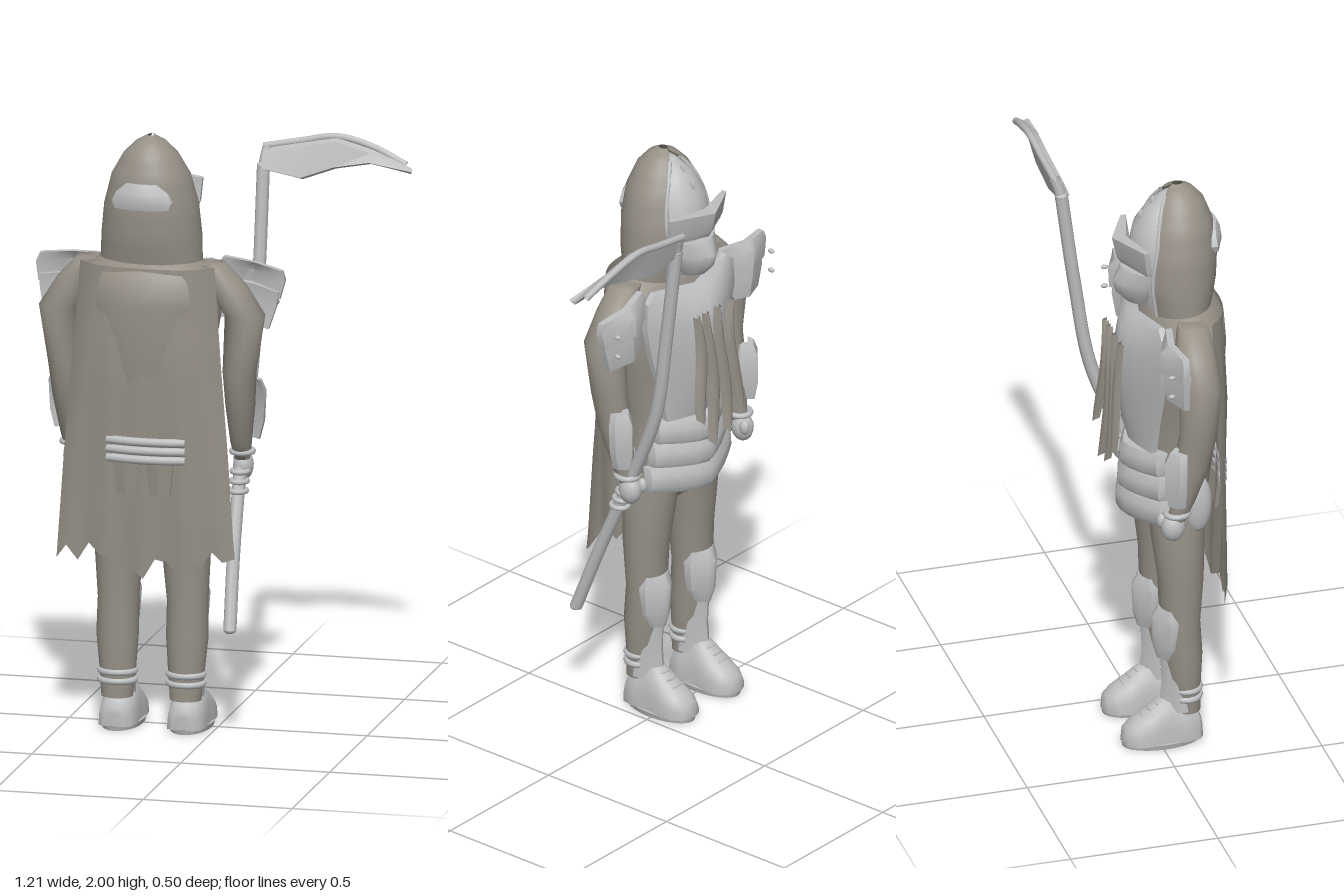
import * as THREE from 'three';
import { toCreasedNormals } from 'three/addons/utils/BufferGeometryUtils.js';

const CX = -0.2; // body centre line; the body faces -z
const cloth = new THREE.MeshStandardMaterial({ color: 0x969086 });
cloth.name = 'cloth';
cloth.side = THREE.DoubleSide;
const metal = new THREE.MeshStandardMaterial({ color: 0xbcbec0 });
metal.name = 'metal';
metal.side = THREE.DoubleSide;

// Closed skin over a list of equal-length rings, capped at both ends
function loft(rings, crease = 0.8) {
  const n = rings[0].length, pos = rings.flat(2), idx = [];
  rings.slice(1).forEach((_, r) => {
    for (let i = 0; i < n; i++) {
      const a = r * n + i, b = r * n + (i + 1) % n;
      idx.push(a, b, a + n, b, b + n, a + n);
    }
  });
  [0, rings.length - 1].forEach((r) => {
    const c = pos.length / 3;
    for (let k = 0; k < 3; k++) pos.push(rings[r].reduce((s, p) => s + p[k], 0) / n);
    for (let i = 0; i < n; i++) {
      const a = r * n + i, b = r * n + (i + 1) % n;
      if (r) idx.push(a, b, c); else idx.push(b, a, c);
    }
  });
  // Turn the skin outward if its signed volume is negative
  let vol = 0;
  const at = (i) => new THREE.Vector3().fromArray(pos, i * 3);
  for (let i = 0; i < idx.length; i += 3) vol += at(idx[i]).dot(at(idx[i + 1]).cross(at(idx[i + 2])));
  if (vol < 0) idx.reverse();
  return finish(pos, idx, crease);
}

function finish(pos, idx, crease) {
  const g = new THREE.BufferGeometry();
  g.setAttribute('position', new THREE.Float32BufferAttribute(pos, 3));
  g.setIndex(idx);
  return toCreasedNormals(g, crease);
}

// Open surface from fn(u, v) => [x, y, z]
function sheet(fn, nu, nv) {
  const pos = [], idx = [];
  for (let j = 0; j <= nv; j++) for (let i = 0; i <= nu; i++) {
    pos.push(...fn(i / nu, j / nv));
    const a = j * (nu + 1) + i;
    if (i < nu && j < nv) idx.push(a, a + 1, a + nu + 1, a + 1, a + nu + 2, a + nu + 1);
  }
  return finish(pos, idx, 1);
}

// Elliptical body: rows of [y, x, half width, front z, back z]
const body = (rows, n = 20) => loft(rows.map(([y, x, w, f, b]) => Array.from({ length: n }, (_, i) => {
  const a = i / n * Math.PI * 2;
  return [x + w * Math.cos(a), y, (f + b) / 2 + (b - f) / 2 * Math.sin(a)];
})), 1.2);

// Bowed armour plate: rows of [y, half width, middle z, side z, rise of the sides]
const plate = (x, rows, thick = 0.02, power = 1) => loft(rows.map(([y, w, zc, zs, rise = 0]) => {
  const side = (t) => Array.from({ length: 9 }, (_, i) => {
    const u = i / 4 - 1, k = Math.abs(u) ** power;
    return [x + u * w, y + rise * k, zc + (zs - zc) * k + t];
  });
  return [...side(0), ...side(thick).reverse()];
}), 0.75);

const lerpRow = (rows, t) => {
  const k = Math.min(Math.floor(t * (rows.length - 1)), rows.length - 2), f = t * (rows.length - 1) - k;
  return rows[k].map((v, i) => v + (rows[k + 1][i] - v) * f);
};

export function createModel() {
  const model = new THREE.Group();
  const add = (name, geo, mat) => {
    const m = new THREE.Mesh(geo, mat);
    m.name = name;
    model.add(m);
    return m;
  };
  const ball = (name, mat, x, y, z, sx, sy, sz) => {
    const m = add(name, new THREE.SphereGeometry(1, 14, 10), mat);
    m.position.set(x, y, z);
    m.scale.set(sx, sy, sz);
  };
  const tube = (name, pts, r, mat, seg = 20) => add(name, new THREE.TubeGeometry(
    new THREE.CatmullRomCurve3(pts.map((p) => new THREE.Vector3(...p))), seg, r, 8), mat);
  const ring = (name, x, y, z, rx, rz, r, mat) => {
    const m = add(name, new THREE.TorusGeometry(1, r / rx, 8, 28), mat);
    m.position.set(x, y, z);
    m.rotation.x = Math.PI / 2;
    m.scale.set(rx, rz, rx);
  };

  // Torso
  add('torso', body([[0.76, CX, 0.12, 0.0, 0.15], [0.84, CX, 0.18, -0.03, 0.18], [0.95, CX, 0.165, -0.05, 0.2],
    [1.08, CX, 0.165, -0.04, 0.22], [1.25, CX, 0.205, -0.05, 0.24], [1.45, CX, 0.24, -0.06, 0.248],
    [1.56, CX, 0.23, -0.02, 0.238], [1.6, CX, 0.14, 0.0, 0.19]], 28), cloth);

  // Cape with folds and a ragged hem
  const capeRows = [[1.58, 0.225, 0.225, 0.15], [1.25, 0.25, 0.235, 0.16], [0.95, 0.275, 0.22, 0.165], [0.58, 0.3, 0.2, 0.17]];
  const ragged = [0, 0.05, 0.0, 0.06, 0.03, 0.01, -0.01, -0.02, -0.045, 0.02, 0.01, -0.02, 0.03, 0.0, 0.05, 0.02, 0.03];
  add('cape', sheet((u, v) => {
    const [y, w, zc, zs] = lerpRow(capeRows, v), s = u * 2 - 1;
    return [CX + s * w, y + (v === 1 ? ragged[Math.round(u * 16)] : 0),
      zc + (zs - zc) * Math.abs(s) ** 3.5 + 0.01 * v * Math.sin(u * 28)];
  }, 16, 12), cloth);

  // Back belt and hanging cloth tabs
  [0.94, 0.97, 1.0].forEach((y) => tube('backBelt', [-0.13, -0.07, 0, 0.07, 0.13].map((x) => [-0.187 + x, y, 0.234 - x * x]), 0.0145, metal));
  [-1, 1].forEach((s) => add('beltTab', plate(-0.196 + s * 0.055, [[0.93, 0.045, 0.236, 0.226], [0.82, 0.035, 0.23, 0.218]], -0.02), cloth));

  // Hood, open toward the face with a pointed arch
  const hoodRows = [[1.57, 0.17, -0.02, 0.2, 0.6], [1.67, 0.166, -0.045, 0.22, 0.66], [1.77, 0.156, -0.045, 0.225, 0.78],
    [1.87, 0.13, -0.02, 0.212, 0.75], [1.94, 0.09, 0.015, 0.185, 0.6], [1.98, 0.05, 0.05, 0.15, 0.4], [2.0, 0.012, 0.08, 0.115, 0.05]];
  const hoodPoint = (u, v) => {
    const [y, w, f, b, gap] = lerpRow(hoodRows, v), a = gap + u * (Math.PI * 2 - 2 * gap);
    return [CX + w * Math.sin(a), y, (f + b) / 2 - (b - f) / 2 * Math.cos(a)];
  };
  add('hood', sheet(hoodPoint, 28, 18), cloth);
  [0, 1].forEach((u) => tube('hoodTrim', [0, 0.2, 0.4, 0.6, 0.8].map((v) => hoodPoint(u, v)), 0.007, metal));
  add('hoodBackPlate', plate(CX - 0.005, [[1.775, 0.09, 0.233, 0.208], [1.8, 0.1, 0.24, 0.205], [1.83, 0.086, 0.237, 0.203], [1.86, 0.05, 0.224, 0.21]], -0.03, 2), metal);

  // Helmet, visor and mouth guard
  add('helmet', body([[1.58, CX, 0.075, -0.03, 0.1], [1.66, CX, 0.105, -0.06, 0.14], [1.76, CX, 0.115, -0.07, 0.15],
    [1.86, CX, 0.1, -0.05, 0.15], [1.93, CX, 0.065, -0.005, 0.13], [1.975, CX, 0.02, 0.05, 0.11]]), metal);
  add('visor', plate(CX, [[1.735, 0.125, -0.095, -0.04], [1.755, 0.132, -0.108, -0.045], [1.83, 0.138, -0.125, -0.055]], 0.018), metal);
  add('mouthGuard', plate(CX, [[1.59, 0.045, -0.075, -0.04], [1.63, 0.07, -0.112, -0.045], [1.67, 0.085, -0.122, -0.045], [1.72, 0.088, -0.095, -0.045]], 0.03, 1.6), metal);
  [[1.9, -0.025], [1.945, 0.015]].forEach(([y, z]) => ball('helmetStud', metal, CX, y, z, 0.006, 0.018, 0.01));

  // Breastplate with a dipped neckline, chest ribbons and waist plates
  add('breastplate', plate(CX, [[1.08, 0.13, -0.07, -0.03], [1.2, 0.155, -0.1, -0.025], [1.33, 0.195, -0.115, -0.02],
    [1.43, 0.222, -0.112, -0.02, 0.02], [1.49, 0.215, -0.095, -0.02, 0.05], [1.52, 0.18, -0.065, -0.02, 0.05]], 0.02, 1.4), metal);
  [[-0.085, 1.08], [-0.03, 1.02], [0.03, 1.0], [0.085, 1.1]].forEach(([x, low], i) => add('chestRibbon', sheet((u, v) => {
    const end = v === 1 ? 0.04 * Math.abs(u - 0.5) : 0;
    return [CX + x + (u - 0.5) * (0.025 + 0.035 * Math.sin(v * 2.8)) + 0.014 * Math.sin(v * 5 + i),
      1.48 + (low - 1.48) * v + end, -0.112 - 0.03 * v - 0.02 * Math.sin(u * Math.PI)];
  }, 4, 8), cloth));
  for (let i = 0; i < 3; i++) {
    const y = 1.02 - i * 0.08, w = 0.155 + i * 0.02, z = -0.085 - i * 0.006;
    add('waistPlate', plate(CX, [[y - 0.045, w, z, -0.01, 0.02], [y - 0.02, w + 0.008, z - 0.014, -0.022, 0.02],
      [y + 0.02, w + 0.006, z - 0.012, -0.022, 0.02], [y + 0.045, w, z, -0.01, 0.02]], 0.03, 1.4), metal);
  }

  [-1, 1].forEach((s) => {
    const x = (d) => CX + s * d;
    // Arm, hand and armour
    add('arm', body([[1.58, x(0.2), 0.05, 0.04, 0.14], [1.51, x(0.245), 0.07, 0.02, 0.15], [1.41, x(0.312), 0.066, 0.015, 0.155],
      [1.22, x(0.293), 0.055, 0.02, 0.145], [1.1, x(0.29), 0.048, 0.0, 0.12], [0.97, x(0.285), 0.035, -0.01, 0.07], [0.91, x(0.285), 0.025, -0.015, 0.04]]), cloth);
    ball('hand', metal, x(0.285), 0.885, 0.0, 0.034, 0.05, 0.04);
    ball('thumb', metal, x(0.26), 0.9, -0.03, 0.015, 0.026, 0.018);
    ring('wristBand', x(0.285), 0.935, 0.012, 0.034, 0.036, 0.01, metal);
    add('forearmPlate', plate(x(0.318), [[0.98, 0.025, -0.025, 0.0], [1.04, 0.04, -0.038, 0.0], [1.14, 0.045, -0.038, 0.0], [1.18, 0.03, -0.02, 0.005]], 0.025), metal);
    // Two overlapping shoulder plates, the scythe side drooping outward
    const shoulder = [
      add('upperShoulderPlate', plate(0, [[-0.035, 0.11, -0.045, 0.0], [0.03, 0.115, -0.045, 0.0], [0.06, 0.1, -0.02, 0.0]], 0.022), metal),
      add('lowerShoulderPlate', plate(s * 0.01, [[-0.14, 0.085, -0.025, 0.01], [-0.06, 0.095, -0.035, 0.005], [-0.01, 0.095, -0.025, 0.01]], 0.02), metal),
    ];
    shoulder.forEach((m) => {
      m.position.set(s > 0 ? 0.11 : -0.49, 1.508, 0);
      m.rotation.z = s > 0 ? -0.2 : 0.05;
    });
    [1.43, 1.5].forEach((y) => ball('rivet', metal, x(0.39), y, -0.035, 0.008, 0.008, 0.012));
    ball('hipPlate', metal, x(0.17), 0.895, 0.117, 0.03, 0.105, 0.047);

    // Leg, knee, shin and ankle
    add('leg', body([[0.11, x(0.115), 0.052, 0.05, 0.14], [0.2, x(0.115), 0.06, 0.03, 0.14], [0.32, x(0.117), 0.07, 0.015, 0.145],
      [0.44, x(0.116), 0.068, 0.005, 0.138], [0.6, x(0.113), 0.08, 0.0, 0.15], [0.75, x(0.105), 0.09, -0.02, 0.155], [0.88, x(0.09), 0.09, -0.03, 0.16]]), cloth);
    add('kneePlate', plate(x(0.115), [[0.31, 0.035, -0.005, 0.025], [0.36, 0.058, -0.02, 0.025], [0.46, 0.066, -0.025, 0.025], [0.5, 0.055, -0.002, 0.025]], 0.025, 1.5), metal);
    add('shinPlate', plate(x(0.115), [[0.12, 0.055, 0.0, 0.06], [0.22, 0.05, 0.01, 0.05], [0.33, 0.045, 0.005, 0.04]], 0.025, 1.5), metal);
    [0.165, 0.195].forEach((y) => ring('ankleBand', x(0.115), y, 0.09, 0.057, 0.048, 0.011, metal));

    // Boot: arched sections from heel to toe, on a thin sole
    const boot = [[0.14, 0.035, 0.08], [0.125, 0.055, 0.105], [0.08, 0.063, 0.125], [0.03, 0.062, 0.172], [0, 0.062, 0.158],
      [-0.04, 0.067, 0.125], [-0.085, 0.062, 0.095], [-0.115, 0.042, 0.07], [-0.125, 0.015, 0.04]];
    add('boot', loft(boot.map(([z, w, h]) => Array.from({ length: 13 }, (_, i) => {
      const a = i / 12 * Math.PI;
      return [x(0.115) + w * Math.cos(a), 0.015 + (h - 0.015) * Math.sin(a) ** 0.7, z];
    })), 1), metal);
    add('sole', body([[0, x(0.115), 0.066, -0.122, 0.138], [0.018, x(0.115), 0.071, -0.127, 0.143]], 24), metal);
    [0, 1, 2].forEach((i) => ball('bootLace', metal, x(0.115), 0.146 - i * 0.018, -0.01 - i * 0.024, 0.022, 0.005, 0.005));
  });

  // Scythe shaft with grip rings
  const shaft = [[0.095, 0.385, 0.22], [0.085, 0.62, 0.13], [0.08, 0.9, 0.01], [0.088, 1.2, -0.112], [0.097, 1.5, -0.163], [0.1, 1.84, -0.208]];
  tube('scytheShaft', shaft, 0.022, metal, 36);
  ball('shaftFoot', metal, ...shaft[0], 0.021, 0.014, 0.021);
  ball('shaftHead', metal, ...shaft[5], 0.022, 0.014, 0.022);
  [0.81, 0.84, 0.87].forEach((y) => ring('gripRing', 0.08, y, 0.01 + (0.9 - y) * 0.42, 0.026, 0.028, 0.009, metal));

  // Scythe blade: rows of [x, spine y, spine z, edge y, edge z, thickness]
  add('scytheBlade', loft([[0.1, 1.9, -0.235, 1.825, -0.215, 0.035], [0.23, 1.925, -0.242, 1.8, -0.215, 0.035], [0.34, 1.945, -0.246, 1.84, -0.225, 0.035],
    [0.46, 1.915, -0.242, 1.865, -0.215, 0.035], [0.6, 1.86, -0.205, 1.845, -0.195, 0.022]].map(([x, sy, sz, ey, ez, t]) => [
    [x, sy, sz], [x, sy - 0.012, sz + t], [x, ey + 0.012, ez + t], [x, ey, ez],
  ]), 0.5), metal);
  tube('bladeSpine', [[0.095, 1.9, -0.23], [0.22, 1.923, -0.238], [0.34, 1.943, -0.243], [0.46, 1.917, -0.238], [0.575, 1.868, -0.222]], 0.012, metal);
  tube('bladeSocket', [[0.1, 1.8, -0.205], [0.102, 1.85, -0.212], [0.11, 1.9, -0.228]], 0.018, metal, 6);
  return model;
}
